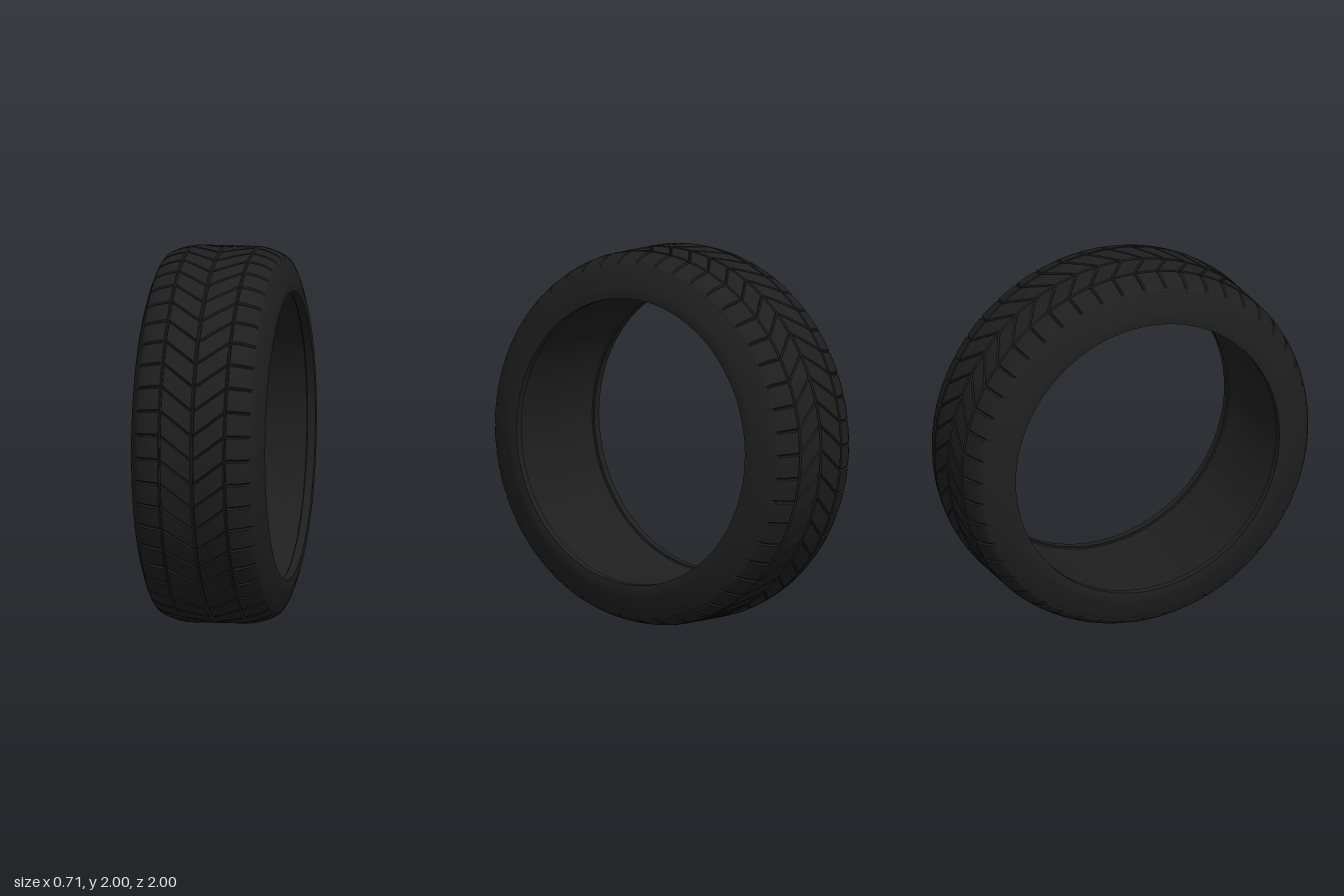
import * as THREE from 'three';
import { toCreasedNormals } from 'three/addons/utils/BufferGeometryUtils.js';

const PITCHES = 48;          // tread blocks around the tyre
const GROOVE = 0.009;        // depth of the slanted grooves
// one pitch: [fraction of the pitch, groove depth factor]
const PITCH = [[0, 0], [0.05, 1], [0.08, 1], [0.13, 0], [0.18, 0], [0.57, 0], [0.95, 0]];

// chevron sweep: centre leads, shoulders run straight across
const sweep = (x) => -0.135 * Math.min(Math.abs(x) / 0.175, 1);

// Sweeps rows [x, radius, slanted groove factor] around the x axis.
function ringSurface(rows) {
  const pos = [], index = [], cols = PITCHES * PITCH.length, n = rows.length;
  for (let p = 0; p < PITCHES; p++) {
    for (const [f, d] of PITCH) {
      for (const [x, radius, g = 0] of rows) {
        const a = ((p + f) / PITCHES) * Math.PI * 2 + sweep(x);
        const r = radius - GROOVE * d * g;
        pos.push(x, 1 + r * Math.cos(a), r * Math.sin(a));
      }
    }
  }
  for (let j = 0; j < cols; j++) {
    const here = j * n, next = ((j + 1) % cols) * n;
    for (let i = 0; i < n - 1; i++) {
      index.push(here + i, next + i, here + i + 1);
      index.push(next + i, next + i + 1, here + i + 1);
    }
  }
  const geo = new THREE.BufferGeometry();
  geo.setAttribute('position', new THREE.Float32BufferAttribute(pos, 3));
  geo.setIndex(index);
  return toCreasedNormals(geo, Math.PI / 5);
}

const mirrored = (rows) => rows.map(([x, r, g]) => [-x, r, g]).reverse();

export function createModel() {
  const group = new THREE.Group();
  group.name = 'tyre';
  const rubber = new THREE.MeshStandardMaterial({ color: 0x1f1f1f });
  rubber.name = 'black rubber';

  const add = (name, rows) => {
    const mesh = new THREE.Mesh(ringSurface(rows), rubber);
    mesh.name = name;
    group.add(mesh);
  };

  // tread, centre to shoulder, with round grooves at the centre and each side
  const halfTread = [
    [0.004, 0.986], [0.009, 1, 0.5], [0.02, 1, 1], [0.09, 1, 1],
    [0.16, 1, 1], [0.168, 0.999, 0.5], [0.172, 0.986], [0.179, 0.986], [0.183, 0.997, 0.5],
    [0.192, 0.995, 1], [0.22, 0.988, 1], [0.25, 0.979, 1], [0.28, 0.966, 1],
    [0.299, 0.954, 0.9], [0.309, 0.943, 0.6], [0.314, 0.934], [0.315, 0.927],
    [0.319, 0.922], [0.324, 0.912],
  ];
  add('tread', [...mirrored(halfTread), ...halfTread]);

  // sidewall down to the square bead corner and the lip inside it
  const sidewall = [
    [0.324, 0.912], [0.33, 0.897], [0.338, 0.874], [0.345, 0.851], [0.352, 0.828], [0.357, 0.808],
    [0.357, 0.785], [0.356, 0.765], [0.315, 0.765], [0.311, 0.768], [0.309, 0.776],
  ];
  add('leftSidewall', sidewall);
  add('rightSidewall', mirrored(sidewall));

  // inner liner, facing the axle
  const halfLiner = [[0.309, 0.776], [0.2, 0.778], [0.1, 0.779]];
  add('innerLiner', [...halfLiner, ...mirrored(halfLiner)]);

  return group;
}
